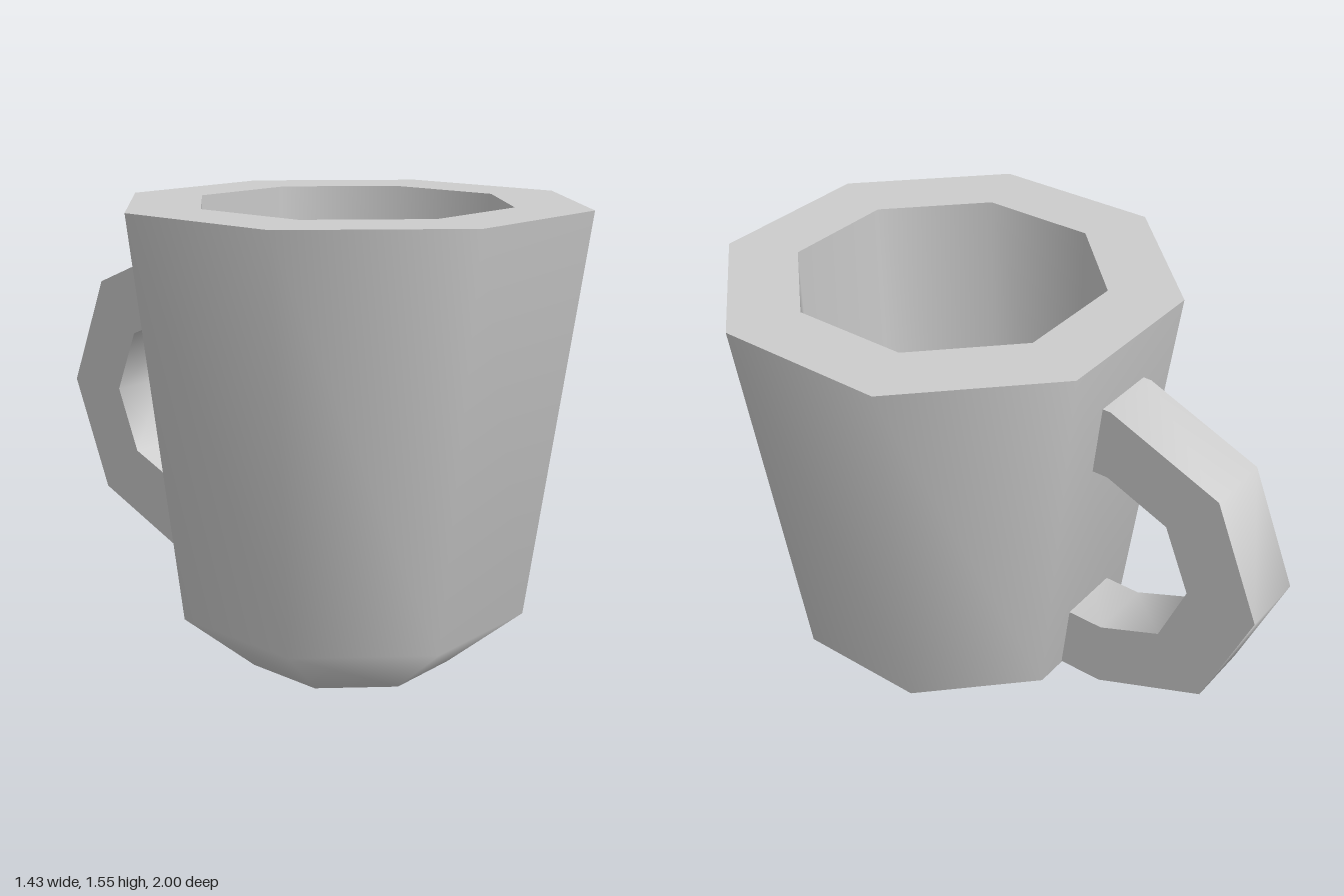
import * as THREE from 'three';
import { toCreasedNormals } from 'three/addons/utils/BufferGeometryUtils.js';

const SIDES = 8;
const CUP_Z = 0.285;

export function createModel() {
  const group = new THREE.Group();
  group.name = 'mug';

  const ceramic = new THREE.MeshStandardMaterial({ color: 0xcccccc });
  ceramic.name = 'grey ceramic';

  // Cup sections are octagonal lathes; profiles list [flat-side distance, height]
  const addRing = (name, profile) => {
    const points = profile.map(([a, y]) => new THREE.Vector2(a / Math.cos(Math.PI / SIDES), y));
    const geometry = new THREE.LatheGeometry(points, SIDES, Math.PI / SIDES);
    const mesh = new THREE.Mesh(geometry, ceramic);
    mesh.name = name;
    mesh.position.z = CUP_Z;
    group.add(mesh);
  };
  addRing('base', [[0, 0], [0.33, 0]]);
  addRing('outerWall', [[0.33, 0], [0.56, 0.21], [0.715, 1.55]]);
  addRing('rim', [[0.715, 1.55], [0.487, 1.55]]);
  addRing('innerWall', [[0.487, 1.55], [0.487, 0.21]]);
  addRing('innerFloor', [[0.487, 0.21], [0, 0.21]]);

  // Handle: faceted half ring whose straight ends sink into the cup wall
  const centreZ = -0.435, centreY = 0.78, rootZ = -0.24, width = 0.23;
  const arc = (radius) => {
    const points = [new THREE.Vector2(rootZ, centreY + radius)];
    for (let i = 0; i <= 4; i++) {
      const angle = Math.PI / 2 + (i * Math.PI) / 4;
      points.push(new THREE.Vector2(
        centreZ + radius * Math.cos(angle), centreY + radius * Math.sin(angle)));
    }
    points.push(new THREE.Vector2(rootZ, centreY - radius));
    return points;
  };
  const shape = new THREE.Shape([...arc(0.565), ...arc(0.318).reverse()]);
  const solid = new THREE.ExtrudeGeometry(shape, { depth: width, bevelEnabled: false });
  solid.translate(0, 0, -width / 2);
  solid.rotateY(-Math.PI / 2);
  const handle = new THREE.Mesh(toCreasedNormals(solid, Math.PI / 3), ceramic);
  handle.name = 'handle';
  group.add(handle);

  return group;
}
